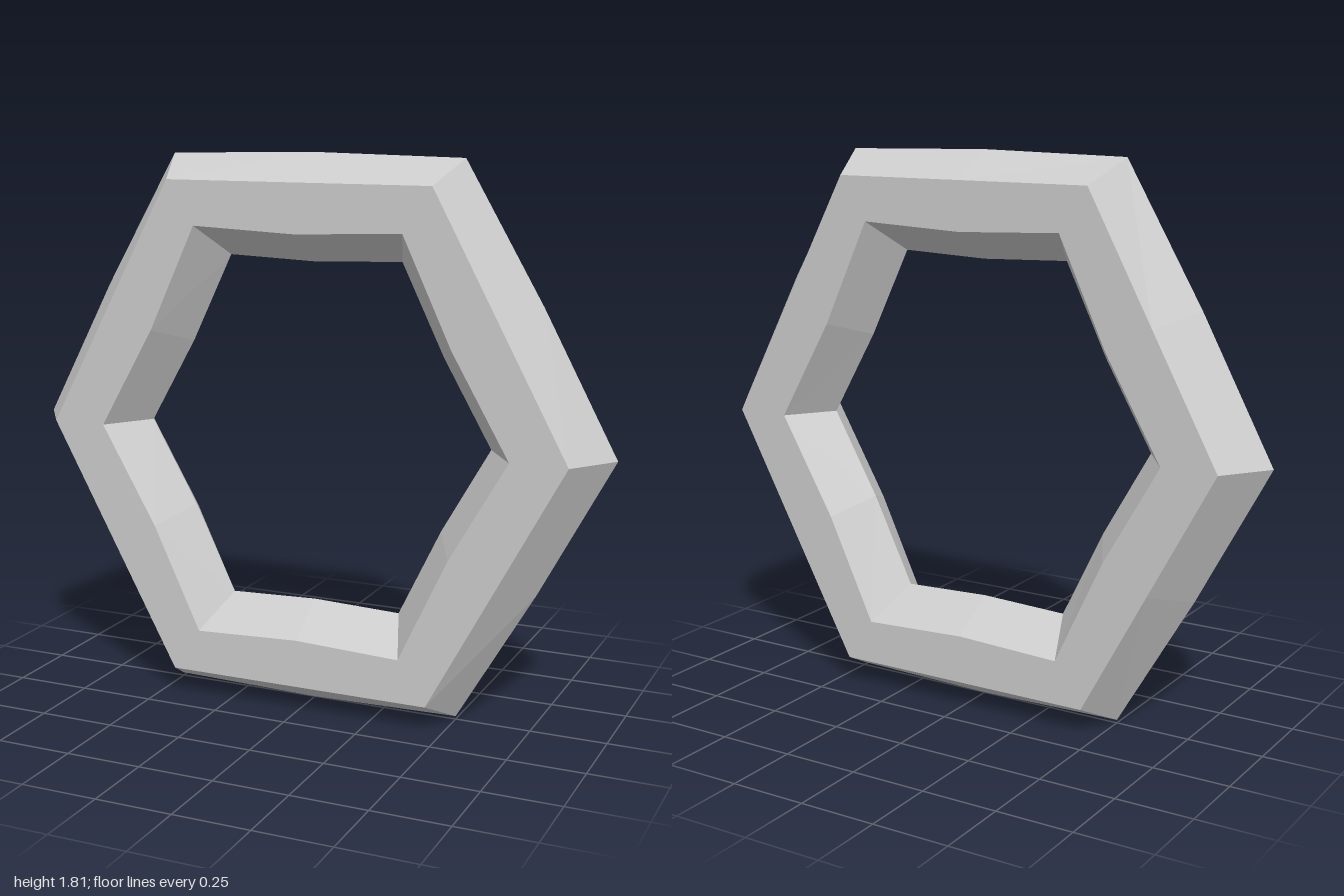
import * as THREE from 'three';

const CENTRE_Y = 0.908;

// Lengthwise edges of the ring, in order around its section:
// side corner x, upper corner (x, y), middle of top y, bulge of slanted sides, z
const outerRidge = { side: 1.0, cx: 0.5, cy: 0.895, top: 0.905, bulge: 0.01 };
const outerRim = { side: 0.89, cx: 0.449, cy: 0.818, top: 0.818, bulge: 0 };
const innerRim = { side: 0.706, cx: 0.355, cy: 0.674, top: 0.659, bulge: -0.016 };
const innerRidge = { side: 0.6, cx: 0.298, cy: 0.572, top: 0.561, bulge: -0.011 };
const HALF_DEPTH = 0.155;
const section = [
  [outerRidge, 0], [outerRim, HALF_DEPTH], [innerRim, HALF_DEPTH],
  [innerRidge, 0], [innerRim, -HALF_DEPTH], [outerRim, -HALF_DEPTH],
];

// Twelve points of one edge, counter-clockwise: six corners and six side middles
function edgeLoop({ side, cx, cy, top, bulge }, z) {
  const mx = (side + cx) / 2 + bulge * 0.87;
  const my = cy / 2 + bulge * 0.5;
  const quarter = [[side, 0], [mx, my], [cx, cy], [0, top]];
  const upper = [...quarter, [-cx, cy], [-mx, my]];
  return [...upper, ...upper.map(([x, y]) => [-x, -y])]
    .map(([x, y]) => new THREE.Vector3(x, y, z));
}

function ringGeometry() {
  const loops = section.map(([edge, z]) => edgeLoop(edge, z));
  const points = [];
  const n = loops[0].length;
  loops.forEach((loop, j) => {
    const next = loops[(j + 1) % loops.length];
    for (let i = 0; i < n; i++) {
      const k = (i + 1) % n;
      const [a, b, c, d] = [loop[i], loop[k], next[k], next[i]];
      // Mirror the diagonals on alternate spans so the facets stay symmetric
      points.push(...(i % 2 ? [a, b, c, a, c, d] : [a, b, d, b, c, d]));
    }
  });
  const geometry = new THREE.BufferGeometry().setFromPoints(points);
  geometry.computeVertexNormals();
  return geometry;
}

export function createModel() {
  const group = new THREE.Group();
  group.name = 'hexagonalRing';

  // Bevelled six-sided ring standing on a flat side
  const ring = new THREE.Mesh(
    ringGeometry(),
    new THREE.MeshStandardMaterial({ color: 0xcccccc, flatShading: true }),
  );
  ring.name = 'ring';
  ring.position.y = CENTRE_Y;
  group.add(ring);
  return group;
}
